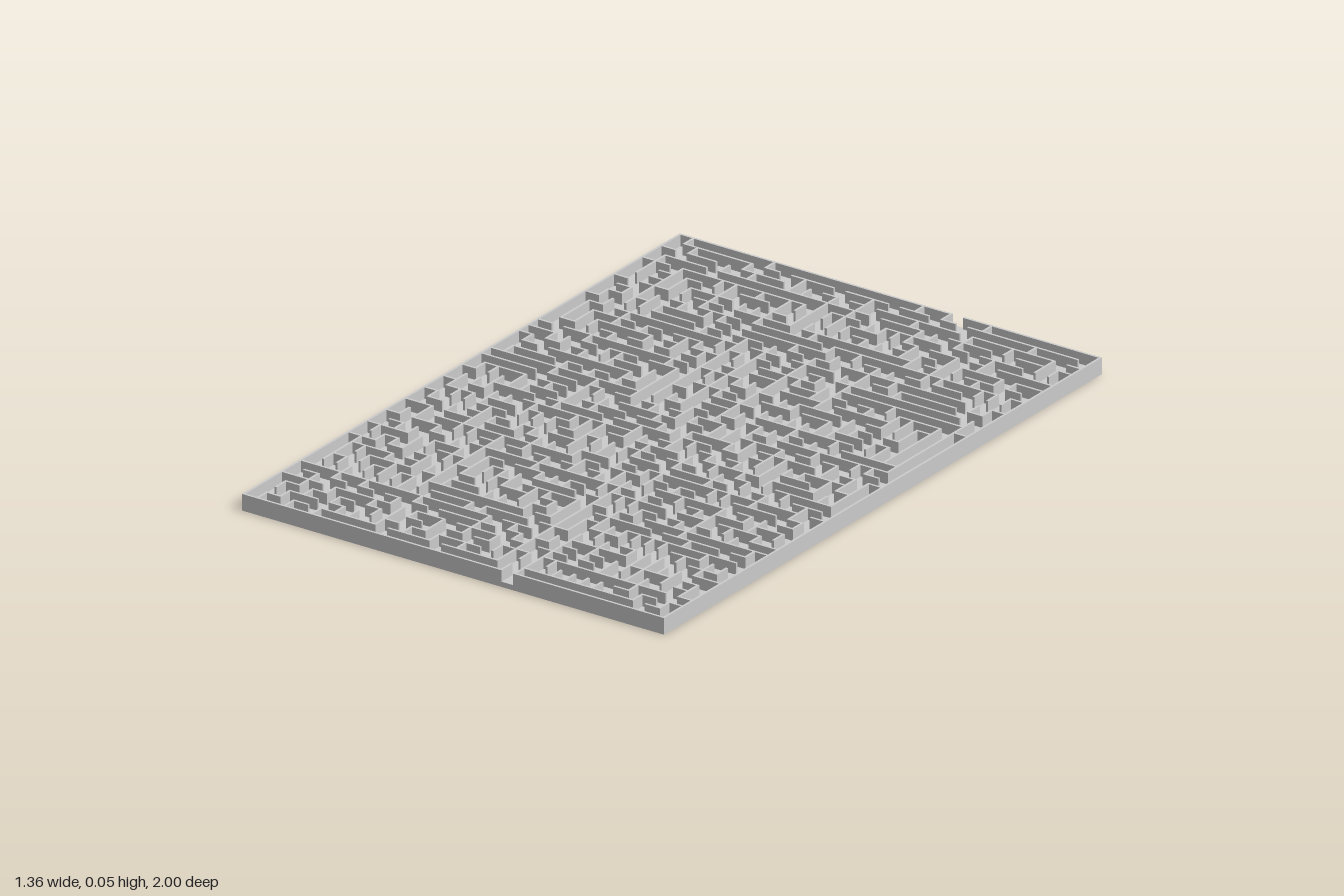
import * as THREE from 'three';
import { mergeGeometries } from 'three/addons/utils/BufferGeometryUtils.js';

// Rectangular labyrinth tray: 31 x 46 cells
const COLS = 31, ROWS = 46;
const WIDTH = 1.356, LENGTH = 2, HEIGHT = 0.048, FLOOR = 0.015, WALL = 0.007;
const PX = (WIDTH - WALL) / COLS, PZ = (LENGTH - WALL) / ROWS;
const FRONT_GAP = 19, BACK_GAP = 20;

// Main walls as [grid line, from, to]; the smaller ones grow between them
const MAIN_ALONG_Z = [
  [1, 35, 39], [3, 4, 10], [7, 4, 8], [8, 30, 38], [11, 4, 8], [12, 10, 18],
  [13, 2, 6], [14, 10, 18], [15, 1, 6], [17, 10, 20], [18, 34, 43], [20, 39, 46],
  [21, 9, 15], [29, 14, 20], [30, 12, 20],
];
const MAIN_ALONG_X = [
  [1, 1, 6], [1, 22, 30], [2, 23, 29], [3, 5, 15], [4, 5, 11], [7, 14, 21],
  [8, 7, 16], [8, 17, 29], [10, 21, 28], [11, 3, 12], [12, 20, 28], [13, 21, 30],
  [15, 2, 9], [20, 0, 11], [21, 23, 30], [25, 7, 14], [29, 19, 29], [32, 8, 19],
  [35, 24, 31], [37, 22, 30], [38, 8, 15], [40, 0, 12], [43, 20, 29], [45, 20, 28],
];

// Wall units form a tree rooted on the border, so no cell gets sealed off
function planWalls() {
  const inX = new Set(), inZ = new Set();
  const id = (i, j) => j * (COLS + 1) + i;
  const parent = [];
  for (let j = 0; j <= ROWS; j++) {
    for (let i = 0; i <= COLS; i++) {
      const border = i === 0 || j === 0 || i === COLS || j === ROWS;
      parent[id(i, j)] = border ? 0 : id(i, j);
    }
  }
  const root = (n) => { while (parent[n] !== n) n = parent[n]; return n; };
  const join = (i, j, alongX) => {
    const a = root(id(i, j)), b = root(alongX ? id(i + 1, j) : id(i, j + 1));
    if (a === b) return;
    parent[Math.max(a, b)] = Math.min(a, b);
    (alongX ? inX : inZ).add(id(i, j));
  };
  for (const [i, from, to] of MAIN_ALONG_Z) for (let j = from; j < to; j++) join(i, j, false);
  for (const [j, from, to] of MAIN_ALONG_X) for (let i = from; i < to; i++) join(i, j, true);

  // Tie the remaining free posts to their neighbours, favouring walls along x
  let seed = 7;
  const random = () => (seed = (seed * 16807) % 2147483647) / 2147483647;
  const links = [];
  for (let j = 0; j < ROWS; j++) {
    for (let i = 0; i < COLS; i++) {
      if (j > 0) links.push({ i, j, alongX: true, order: random() });
      if (i > 0) links.push({ i, j, alongX: false, order: random() * 1.3 });
    }
  }
  links.sort((a, b) => a.order - b.order).forEach((l) => join(l.i, l.j, l.alongX));
  return { hasX: (i, j) => inX.has(id(i, j)), hasZ: (i, j) => inZ.has(id(i, j)) };
}

// One straight wall between two grid posts
function wallBox(i0, j0, i1, j1) {
  const geometry = new THREE.BoxGeometry(
    (i1 - i0) * PX + WALL, HEIGHT - FLOOR, (j1 - j0) * PZ + WALL);
  return geometry.translate(
    ((i0 + i1) / 2 - COLS / 2) * PX, (HEIGHT + FLOOR) / 2, ((j0 + j1) / 2 - ROWS / 2) * PZ);
}

// Collect consecutive units on a line into long runs
function collectRuns(count, has, add) {
  let start = -1;
  for (let k = 0; k <= count; k++) {
    const on = k < count && has(k);
    if (on && start < 0) start = k;
    if (!on && start >= 0) { add(start, k); start = -1; }
  }
}

export function createModel() {
  const group = new THREE.Group();
  group.name = 'labyrinth';
  const material = new THREE.MeshStandardMaterial({ color: 0xcccccc, flatShading: true });
  const addMesh = (name, geometry) => {
    const mesh = new THREE.Mesh(geometry, material);
    mesh.name = name;
    group.add(mesh);
  };

  // Floor slab
  addMesh('floor', new THREE.BoxGeometry(WIDTH, FLOOR, LENGTH).translate(0, FLOOR / 2, 0));

  // Outer frame with an entrance at the front and an exit at the back
  addMesh('outerWalls', mergeGeometries([
    wallBox(0, 0, 0, ROWS), wallBox(COLS, 0, COLS, ROWS),
    wallBox(0, 0, BACK_GAP, 0), wallBox(BACK_GAP + 1, 0, COLS, 0),
    wallBox(0, ROWS, FRONT_GAP, ROWS), wallBox(FRONT_GAP + 1, ROWS, COLS, ROWS),
  ]));

  // Inner maze walls
  const plan = planWalls(), walls = [];
  for (let j = 1; j < ROWS; j++) {
    collectRuns(COLS, (i) => plan.hasX(i, j), (a, b) => walls.push(wallBox(a, j, b, j)));
  }
  for (let i = 1; i < COLS; i++) {
    collectRuns(ROWS, (j) => plan.hasZ(i, j), (a, b) => walls.push(wallBox(i, a, i, b)));
  }
  addMesh('mazeWalls', mergeGeometries(walls));
  return group;
}
